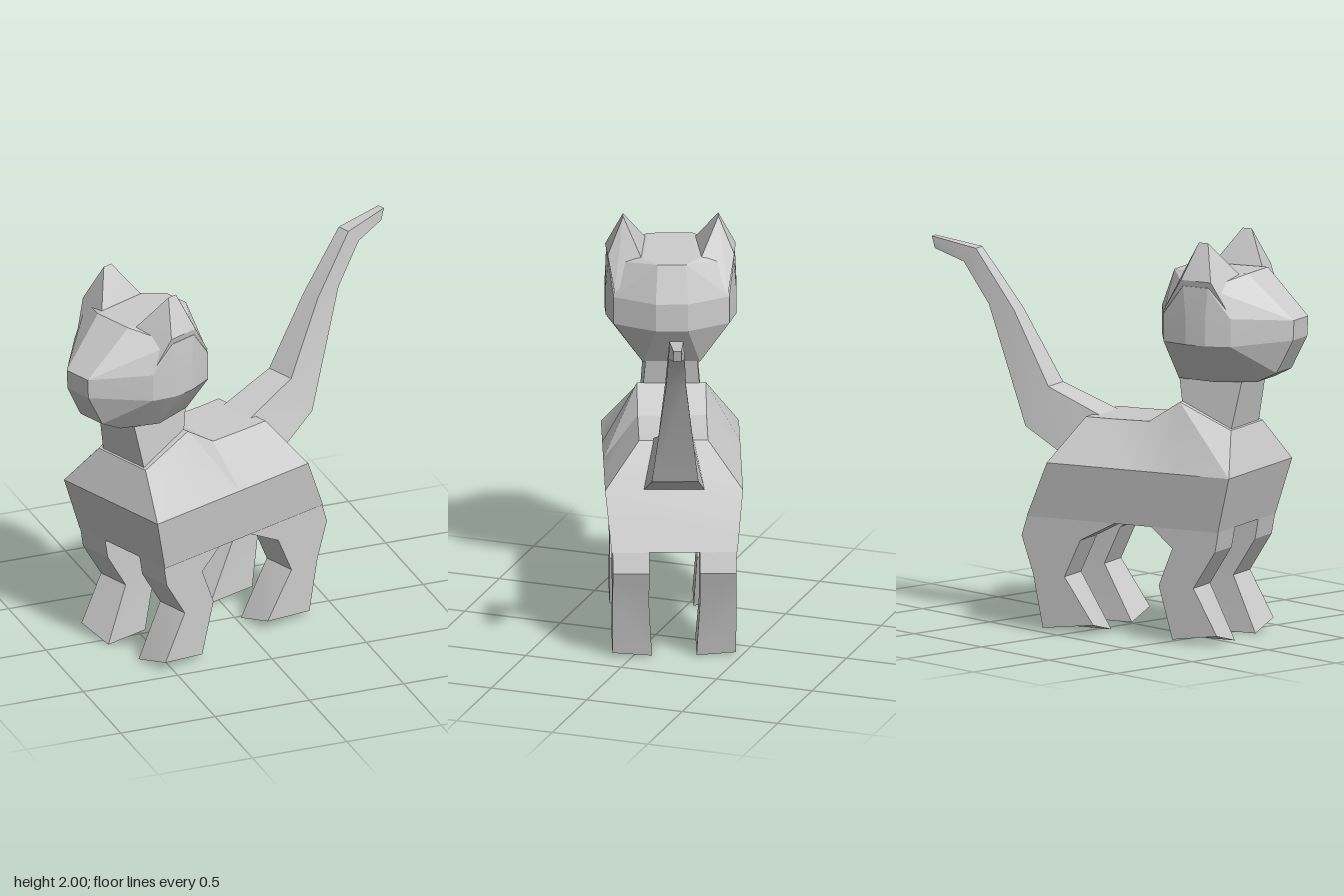
import * as THREE from 'three';
import { toCreasedNormals } from 'three/addons/utils/BufferGeometryUtils.js';
import { ConvexGeometry } from 'three/addons/geometries/ConvexGeometry.js';

const material = new THREE.MeshStandardMaterial({ color: 0xcccccc });

// Closed skin over equal-sized rings of [x, y, z] points; end caps are strips across the ring.
function loft(rings, crease) {
  const pos = [];
  const quad = (a, b, c, d) => pos.push(...a, ...b, ...c, ...a, ...c, ...d);
  const n = rings[0].length;
  for (let i = 0; i < rings.length - 1; i++) {
    for (let j = 0; j < n; j++) {
      const k = (j + 1) % n;
      quad(rings[i][j], rings[i][k], rings[i + 1][k], rings[i + 1][j]);
    }
  }
  const first = rings[0], last = rings[rings.length - 1];
  for (let j = 0; j < n / 2 - 1; j++) {
    quad(first[j], first[n - 1 - j], first[n - 2 - j], first[j + 1]);
    quad(last[j], last[j + 1], last[n - 2 - j], last[n - 1 - j]);
  }
  // Signed volume tells whether the faces point outwards
  let volume = 0;
  const a = new THREE.Vector3(), b = new THREE.Vector3(), c = new THREE.Vector3();
  for (let i = 0; i < pos.length; i += 9) {
    volume += a.fromArray(pos, i).dot(b.fromArray(pos, i + 3).cross(c.fromArray(pos, i + 6)));
  }
  if (volume < 0) {
    for (let i = 0; i < pos.length; i += 9) {
      for (let k = 0; k < 3; k++) [pos[i + 3 + k], pos[i + 6 + k]] = [pos[i + 6 + k], pos[i + 3 + k]];
    }
  }
  const geometry = new THREE.BufferGeometry();
  geometry.setAttribute('position', new THREE.Float32BufferAttribute(pos, 3));
  return toCreasedNormals(geometry, crease);
}

// Convex solid; points are [x, y, z]
function hull(points) {
  return toCreasedNormals(new ConvexGeometry(points.map(p => new THREE.Vector3(...p))), 0.2);
}

const mirrored = points => points.flatMap(([x, y, z]) => [[x, y, z], [x, y, -z]]);

// Ring made of one side's points and their mirror image
const symmetricRing = side => [...side, ...side.map(([x, y, z]) => [x, y, -z]).reverse()];

export function createModel() {
  const model = new THREE.Group();
  const cat = new THREE.Group();
  cat.name = 'cat';
  model.add(cat);
  const add = (name, geometry) => {
    const mesh = new THREE.Mesh(geometry, material);
    mesh.name = name;
    cat.add(mesh);
  };

  // Torso: [top x, top y, side x, belly x] from chest to rump
  const torso = [
    [-0.674, 1.06, -0.75, -0.673],
    [-0.39, 1.18, -0.45, -0.3],
    [-0.22, 1.07, -0.2, -0.2],
    [0, 1.065, 0, -0.1],
    [0.13, 1.065, 0.26, 0.386],
  ];
  add('torso', loft(torso.map(([tx, ty, sx, bx]) => symmetricRing([
    [tx, ty, 0.17], [sx, 0.85, 0.34], [bx, 0.57, 0.31],
  ])), 0.35));

  // Legs: [front x, back x, y] from the belly down; the soles tilt outwards
  const legs = {
    frontLeg: [[-0.673, -0.3, 0.57], [-0.655, -0.418, 0.47], [-0.535, -0.343, 0.28], [-0.665, -0.418, 0]],
    hindLeg: [[-0.1, 0.386, 0.57], [0.092, 0.417, 0.47], [0.18, 0.353, 0.28], [0.02, 0.3, 0]],
  };
  for (const [name, rows] of Object.entries(legs)) {
    for (const side of [1, -1]) {
      add(name + (side > 0 ? 'Left' : 'Right'), loft(rows.map(([f, b, y]) => {
        const toe = y === 0 ? 0.05 : y;
        const heel = y === 0 ? 0.015 : y;
        const inner = y === 0 ? 0.11 : 0.125;
        return [[f, toe, 0.305 * side], [b, heel, 0.305 * side], [b, y, inner * side], [f, y, inner * side]];
      }), 0.2));
    }
  }

  // Tail: [upper x, upper y, upper half width, lower x, lower y, lower half width]
  const tail = [
    [0.08, 1.06, 0.1, 0.25, 0.85, 0.15],
    [0.385, 1.18, 0.08, 0.494, 0.98, 0.115],
    [0.59, 1.54, 0.05, 0.73, 1.56, 0.05],
    [0.81, 1.83, 0.035, 0.875, 1.76, 0.04],
    [1.062, 1.87, 0.02, 1.045, 1.81, 0.02],
  ];
  add('tail', loft(tail.map(([ux, uy, uw, lx, ly, lw]) =>
    symmetricRing([[ux, uy, uw], [lx, ly, lw]])), 0.35));

  // Neck
  add('neck', loft([
    [[-0.66, 1.04, 0.15], [-0.39, 1.16, 0.14]],
    [[-0.72, 1.34, 0.125], [-0.36, 1.34, 0.125]],
  ].map(symmetricRing), 0.2));

  // Head: flat crown, straight cheeks, pointed muzzle and narrow jaw
  const cheek = [[-0.73, 0.285], [-0.61, 0.325], [-0.5, 0.322], [-0.36, 0.285], [-0.245, 0.08]];
  add('head', hull(mirrored([
    [-0.735, 1.84, 0.11], [-0.31, 1.825, 0.07], [-0.4, 1.83, 0.14],
    [-0.62, 1.79, 0.318], [-0.48, 1.79, 0.31],
    ...cheek.flatMap(([x, z]) => [[x, 1.5, z], [x, 1.64, z]]),
    [-0.975, 1.62, 0.076], [-0.97, 1.52, 0.076],
    [-0.88, 1.35, 0.08], [-0.78, 1.3, 0.1], [-0.6, 1.3, 0.19], [-0.37, 1.295, 0.14],
  ])));

  // Ears: blunt pyramids rising from the cheeks
  for (const side of [1, -1]) {
    add(side > 0 ? 'earLeft' : 'earRight', hull([
      [-0.58, 2, 0.235], [-0.53, 2, 0.235],
      [-0.7, 1.83, 0.12], [-0.4, 1.81, 0.14],
      [-0.64, 1.82, 0.322], [-0.47, 1.82, 0.312],
      [-0.72, 1.66, 0.28], [-0.36, 1.66, 0.28],
    ].map(([x, y, z]) => [x, y, z * side])));
  }

  // The animal stands turned, head towards the front right
  cat.rotation.y = 0.367;
  cat.position.set(-0.031, 0, -0.08);
  return model;
}
